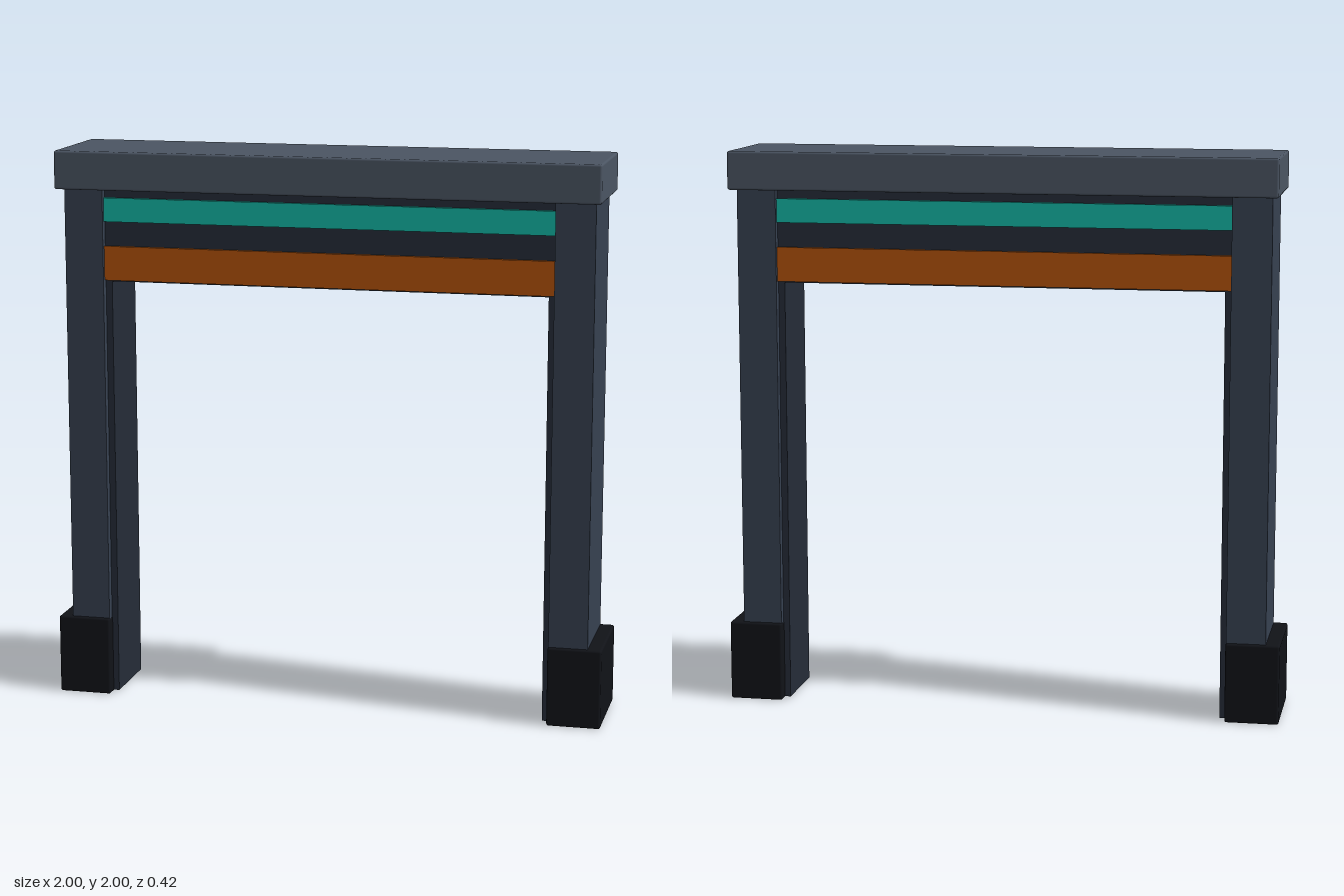
import * as THREE from 'three';
import { RoundedBoxGeometry } from 'three/addons/geometries/RoundedBoxGeometry.js';

const material = (color) => new THREE.MeshStandardMaterial({ color });

export function createModel() {
  const group = new THREE.Group();
  const slate = material(0x4b5563);
  const steel = material(0x374151);
  const dark = material(0x252c38);
  const rubber = material(0x111318);
  const teal = material(0x14b8a6);
  const orange = material(0xb45309);

  // Box given by its x and y limits and full depth, with an optional soft edge
  function box(name, mat, x0, x1, y0, y1, depth, radius = 0) {
    const w = x1 - x0, h = y1 - y0;
    const geometry = radius
      ? new RoundedBoxGeometry(w, h, depth, 2, radius)
      : new THREE.BoxGeometry(w, h, depth);
    const mesh = new THREE.Mesh(geometry, mat);
    mesh.name = name;
    mesh.position.set((x0 + x1) / 2, (y0 + y1) / 2, 0);
    group.add(mesh);
  }

  // Top cap
  box('topCap', slate, -0.973, 0.973, 1.863, 2, 0.42, 0.008);

  // Header between the posts, with coloured bands standing proud on both faces
  box('header', dark, -0.81, 0.81, 1.53, 1.863, 0.275);
  box('upperBand', teal, -0.812, 0.812, 1.745, 1.83, 0.3);
  box('lowerBand', orange, -0.812, 0.812, 1.535, 1.657, 0.3);

  // Posts with inner liners and protective feet
  for (const [side, s] of [['left', 1], ['right', -1]]) {
    const part = (name, mat, a, b, ...rest) =>
      box(side + name, mat, Math.min(a * s, b * s), Math.max(a * s, b * s), ...rest);
    part('Post', steel, 0.81, 0.95, 0.01, 1.865, 0.33);
    part('Liner', dark, 0.787, 0.812, 0.005, 1.535, 0.27);
    part('Foot', rubber, 0.808, 1, 0, 0.287, 0.352, 0.008);
  }
  return group;
}
